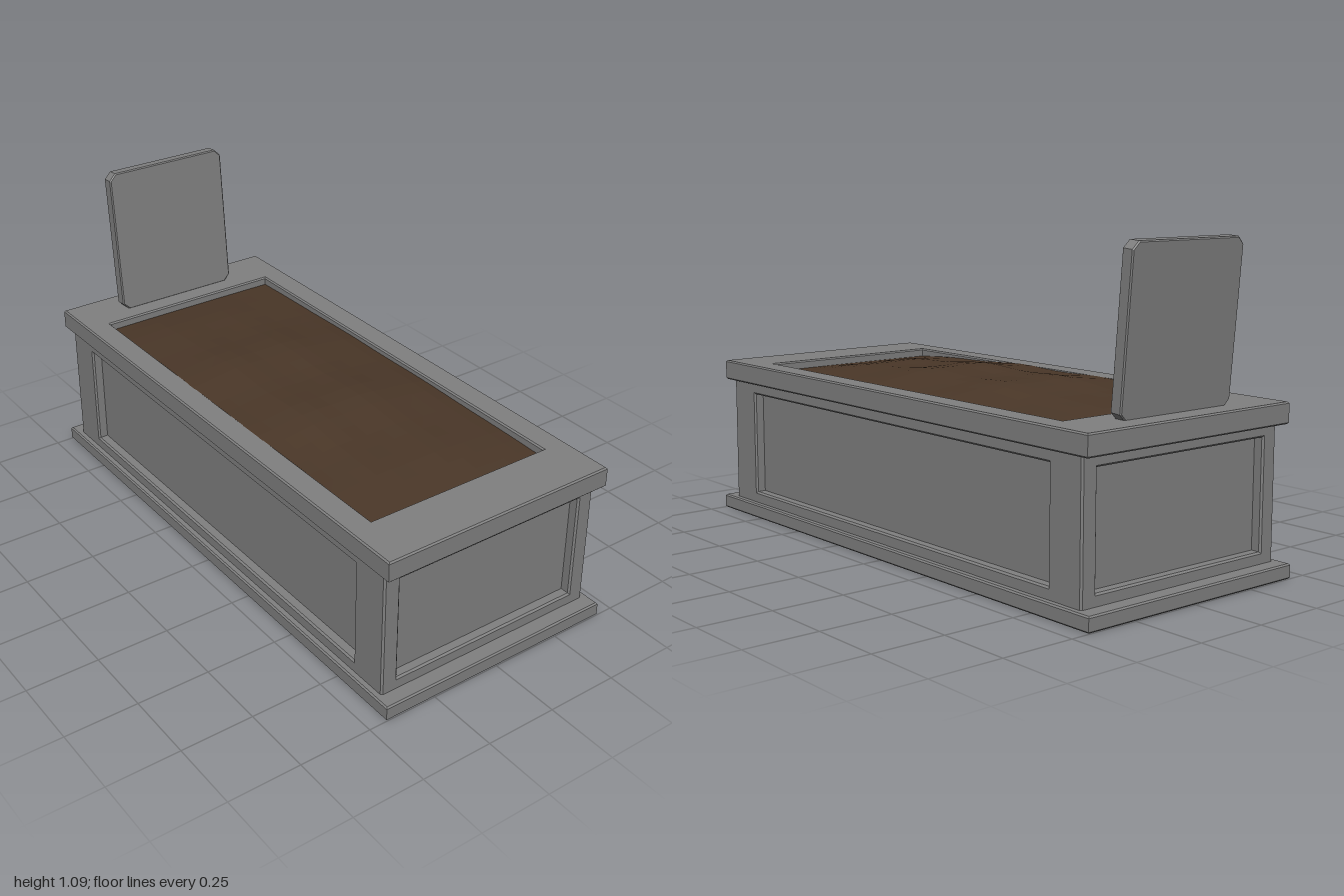
import * as THREE from 'three';

const stone = new THREE.MeshStandardMaterial({ color: 0x808080 });
stone.name = 'grey stone';
const earth = new THREE.MeshStandardMaterial({ color: 0x4a3728, side: THREE.DoubleSide, flatShading: true });
earth.name = 'brown earth';

// Rectangle outline centred on (0, cy), with optional cut corners
function rect(Type, hw, hh, cy = 0, c = 0) {
  const p = c
    ? [[-hw + c, -hh], [hw - c, -hh], [hw, -hh + c], [hw, hh - c], [hw - c, hh], [-hw + c, hh], [-hw, hh - c], [-hw, -hh + c]]
    : [[-hw, -hh], [hw, -hh], [hw, hh], [-hw, hh]];
  return new Type(p.map(([x, y]) => new THREE.Vector2(x, y + cy)));
}

// Plate from z = 0 to z = depth with a narrow bevel kept inside the outline
function plate(shape, depth, b) {
  return new THREE.ExtrudeGeometry(shape, {
    depth: depth - 2 * b, bevelEnabled: true, bevelThickness: b, bevelSize: b, bevelOffset: -b, bevelSegments: 1,
  }).translate(0, 0, b);
}

function add(parent, name, geometry, material = stone) {
  const mesh = new THREE.Mesh(geometry, material);
  mesh.name = name;
  parent.add(mesh);
  return mesh;
}

export function createModel() {
  const model = new THREE.Group();
  model.name = 'stonePlanter';

  // Plinth and open rim, extruded upwards
  add(model, 'plinth', plate(rect(THREE.Shape, 0.437, 1), 0.05, 0.005).rotateX(-Math.PI / 2));
  const rimShape = rect(THREE.Shape, 0.431, 0.982);
  rimShape.holes.push(rect(THREE.Path, 0.343, 0.785));
  add(model, 'rim', plate(rimShape, 0.071, 0.005).rotateX(-Math.PI / 2).translate(0, 0.494, 0));

  // Core whose sides form the recessed panels
  add(model, 'core', new THREE.BoxGeometry(0.76, 0.46, 1.82).translate(0, 0.27, 0));

  // Four frames around the panels
  const frames = new THREE.Group();
  frames.name = 'panelFrames';
  model.add(frames);
  for (const [name, halfWidth, distance, angle] of [
    ['frontFrame', 0.415, 0.945, 0], ['leftFrame', 0.945, 0.415, Math.PI / 2],
    ['backFrame', 0.415, 0.945, Math.PI], ['rightFrame', 0.945, 0.415, -Math.PI / 2],
  ]) {
    const shape = rect(THREE.Shape, halfWidth, 0.23, 0.27);
    const margin = halfWidth > 0.9 ? 0.14 : 0.06;
    shape.holes.push(rect(THREE.Path, halfWidth - margin, 0.183, 0.272));
    const frame = add(frames, name, plate(shape, 0.045, 0.006).translate(0, 0, distance - 0.045));
    frame.rotation.y = angle;
  }

  // Gently mounded soil inside the rim
  const soil = new THREE.PlaneGeometry(0.7, 1.58, 12, 24).rotateX(-Math.PI / 2);
  const pos = soil.attributes.position;
  for (let i = 0; i < pos.count; i++) {
    const x = pos.getX(i), z = pos.getZ(i);
    const mound = (1 - (z / 0.8) ** 2) * (1 - ((x + 0.06) / 0.45) ** 2);
    pos.setY(i, 0.535 + mound * (0.05 + 0.006 * Math.cos(14 * (z - 0.2)) + 0.003 * Math.cos(26 * (x - 0.08))));
  }
  soil.computeVertexNormals();
  add(model, 'soil', soil, earth);

  // Headstone leaning slightly backwards
  const headstone = add(model, 'headstone', plate(rect(THREE.Shape, 0.235, 0.263, 0.263, 0.024), 0.044, 0.004).translate(0, 0, -0.044));
  headstone.position.set(-0.01, 0.562, -0.855);
  headstone.rotation.x = -0.085;

  return model;
}
